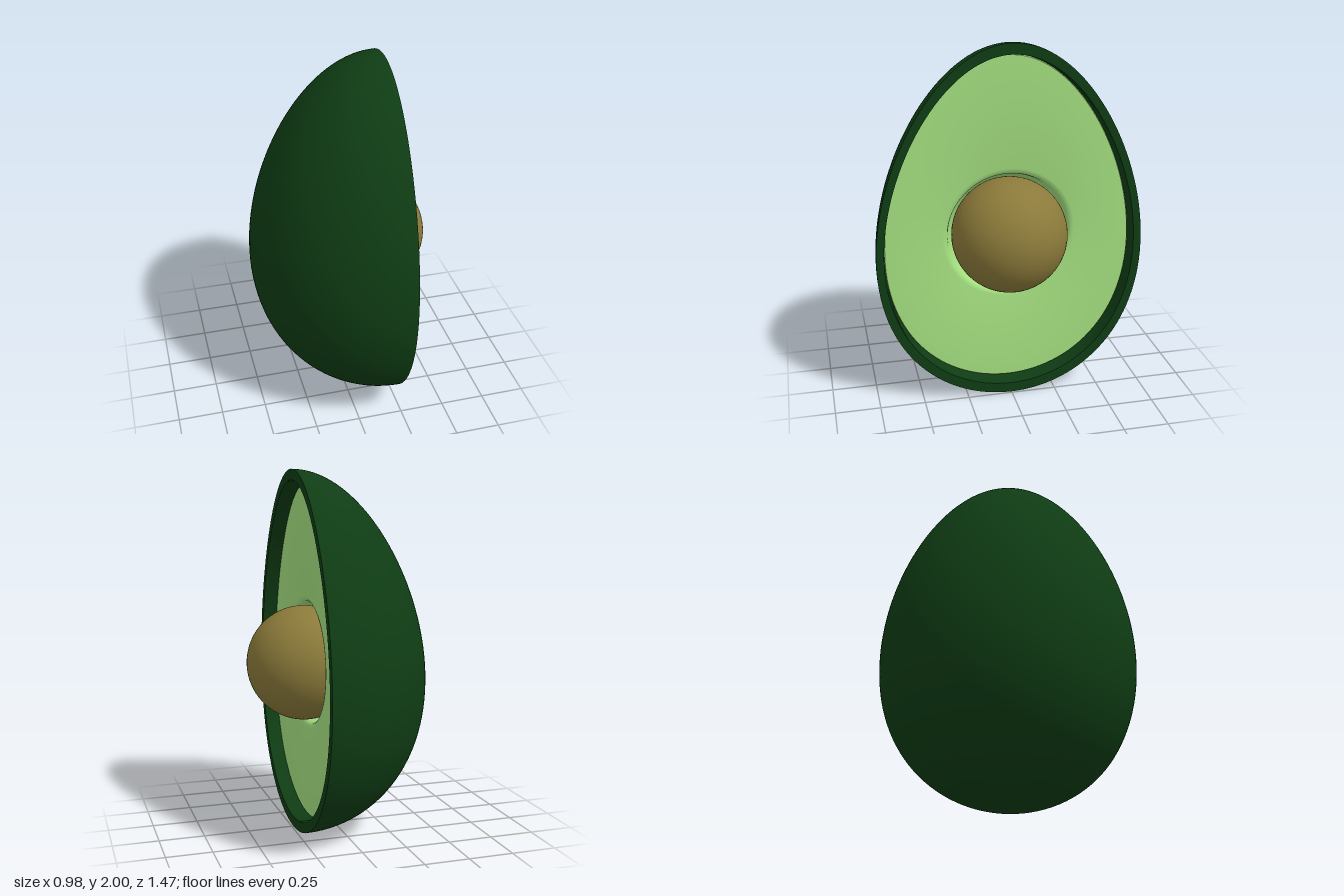
import * as THREE from 'three';
import { toCreasedNormals } from 'three/addons/utils/BufferGeometryUtils.js';

const CUT = 0.24;    // x of the cut plane
const FACE = 0.16;   // x of the recessed flesh face
const STEPS = 64;

// Egg outline: half-width and height at angle t from the top
const egg = (t, s = 1) => new THREE.Vector2(
  0.726 * s * Math.sin(t) * (1 - 0.157 * Math.cos(t)),
  1 + s * Math.cos(t));

const outline = (s) => Array.from({ length: STEPS * 2 }, (_, i) => egg(i * Math.PI / STEPS, s));

// Half of a revolved egg, on the -x side of the cut
function halfShell(s) {
  const profile = Array.from({ length: STEPS + 1 }, (_, i) => egg(Math.PI * (1 - i / STEPS), s));
  profile[0].x = profile[STEPS].x = 0;
  return new THREE.LatheGeometry(profile, 64, Math.PI, Math.PI).translate(CUT, 0, 0);
}

// Surface through closed loops of [x, y, z] points that share one count, facing +x
function loft(loops) {
  const n = loops[0].length, index = [];
  for (let i = 0; i < loops.length - 1; i++) {
    for (let j = 0; j < n; j++) {
      const a = i * n + j, b = i * n + (j + 1) % n;
      index.push(a, b, a + n, b, b + n, a + n);
    }
  }
  const geometry = new THREE.BufferGeometry();
  geometry.setAttribute('position', new THREE.Float32BufferAttribute(loops.flat(2), 3));
  geometry.setIndex(index);
  return toCreasedNormals(geometry, 0.7);
}

export function createModel() {
  const model = new THREE.Group();
  const material = (color) => new THREE.MeshStandardMaterial({ color, side: THREE.DoubleSide });
  const skinMat = material(0x0f3d14);
  const add = (name, geometry, mat, parent = model) => {
    const mesh = new THREE.Mesh(geometry, mat);
    mesh.name = name;
    parent.add(mesh);
    return mesh;
  };

  // Skin: outer shell, inner shell and the flat rim joining them
  const skin = new THREE.Group();
  skin.name = 'skin';
  model.add(skin);
  const inner = 0.942;
  add('outerSkin', halfShell(1), skinMat, skin);
  add('innerSkin', halfShell(inner), skinMat, skin);
  const rim = new THREE.Shape(outline(1));
  rim.holes.push(new THREE.Path(outline(inner)));
  add('skinRim', new THREE.ShapeGeometry(rim).rotateY(Math.PI / 2).translate(CUT, 0, 0), skinMat, skin);

  // Flesh: side wall, flat face, then a rounded lip into the stone's socket
  const pitY = 0.945;
  const edge = (x, s) => outline(s).map((p) => [x, p.y, p.x]);
  const socket = (x, r) => outline(1).map((_, i) => {
    const t = i * Math.PI / STEPS;
    return [x, pitY + r * Math.cos(t), r * Math.sin(t)];
  });
  add('flesh', loft([
    edge(FACE - 0.08, 0.915), edge(FACE - 0.006, 0.93), edge(FACE, 0.926),
    socket(FACE, 0.37), socket(FACE - 0.004, 0.352), socket(FACE - 0.014, 0.34),
    socket(FACE - 0.035, 0.333), socket(0.05, 0.315), socket(-0.1, 0.2), socket(-0.16, 0.0),
  ]), material(0xa4e080));

  // Stone, sunk into the flesh a little past its middle
  add('stone', new THREE.SphereGeometry(0.317, 64, 40).translate(0.173, pitY, 0), material(0x8b7a3a));

  return model;
}
